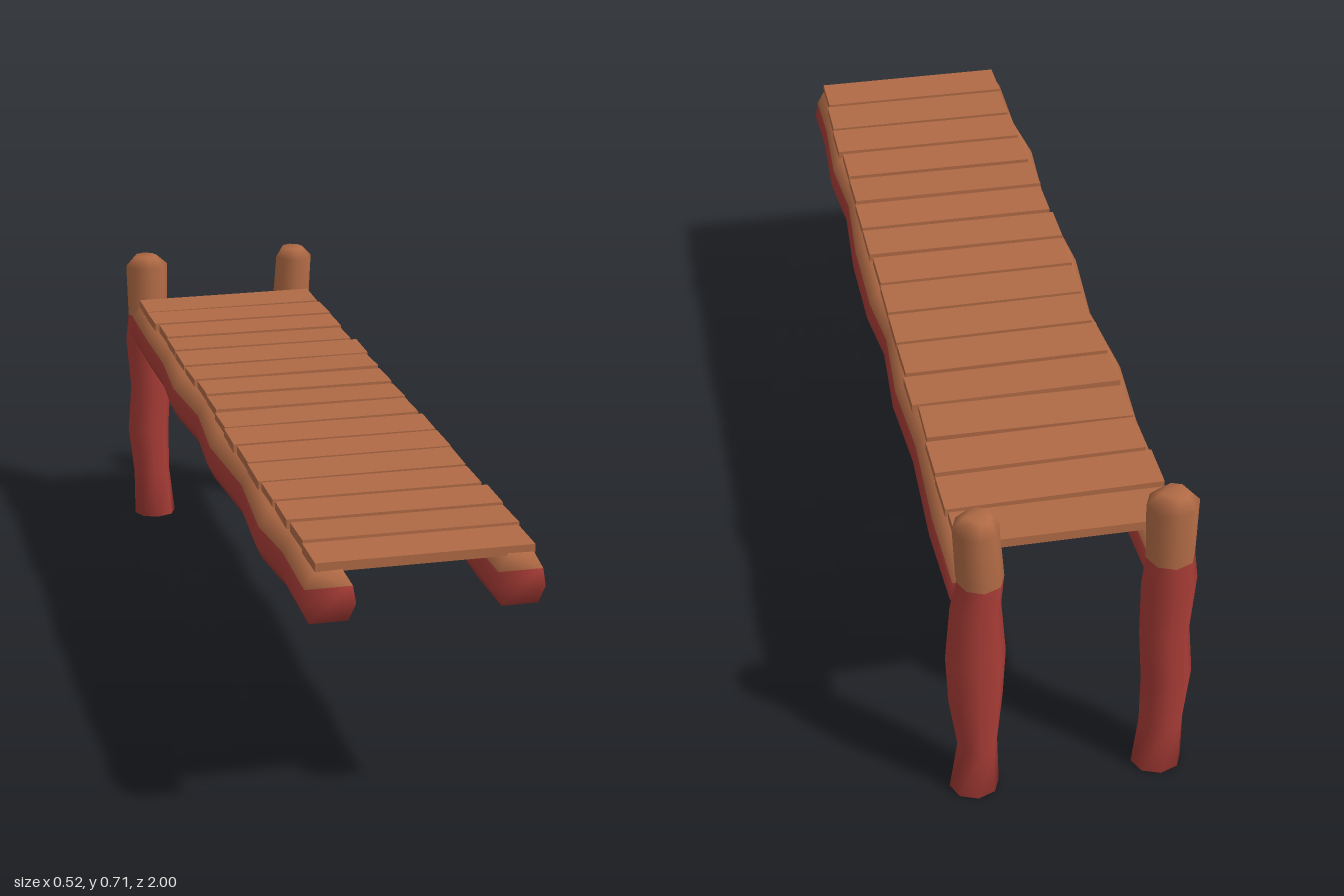
import * as THREE from 'three';

const red = new THREE.MeshStandardMaterial({ color: 0xa83c36 });
red.name = 'red paint';
const brown = new THREE.MeshStandardMaterial({ color: 0xb06a45 });
brown.name = 'brown wood';

// Small repeatable noise in -1..1
let seed = 7;
const noise = () => {
  seed = (seed * 16807) % 2147483647;
  return (seed / 2147483647) * 2 - 1;
};

// Closed log skinned over rings of points; isBrown(section, edge) picks the colour
function makeLog(name, rings, isBrown) {
  const n = rings[0].length, last = rings.length - 1;
  const faces = [[], []];
  const put = (i, j, ...ids) => faces[isBrown(i, j) ? 1 : 0].push(...ids);
  for (let i = 0; i < last; i++) {
    for (let j = 0; j < n; j++) {
      const a = i * n + j, b = i * n + (j + 1) % n;
      put(i, j, a, b, b + n, a, b + n, a + n);
    }
  }
  for (let j = 1; j < n - 1; j++) {
    put(0, j, 0, j + 1, j);
    put(last, j, last * n, last * n + j, last * n + j + 1);
  }
  const g = new THREE.BufferGeometry();
  g.setAttribute('position', new THREE.Float32BufferAttribute(rings.flat(2), 3));
  g.setIndex([...faces[0], ...faces[1]]);
  g.addGroup(0, faces[0].length, 0);
  g.addGroup(faces[0].length, faces[1].length, 1);
  g.computeVertexNormals();
  const mesh = new THREE.Mesh(g, [red, brown]);
  mesh.name = name;
  return mesh;
}

// Upright post: rows of [height, min x, max x, half depth]
function makePost(name, rows) {
  const rings = rows.map(([y, x0, x1, d]) => Array.from({ length: 8 }, (_, k) => {
    const a = (k / 8) * Math.PI * 2;
    return [(x0 + x1) / 2 + Math.cos(a) * (x1 - x0) / 2, y, -0.948 - Math.sin(a) * d];
  }));
  return makeLog(name, rings, (i) => i >= 5);
}

// Rail section: [share of half width, height], brown along the first three edges
const railSection = [
  [0.88, 0.556], [0.5, 0.59], [-0.5, 0.59], [-0.88, 0.556],
  [-1, 0.518], [-0.72, 0.484], [0.72, 0.484], [1, 0.518],
];

// Long rail: rows of [z, min x, max x], from back to front
function makeRail(name, rows) {
  const rings = rows.map(([z, x0, x1]) => railSection.map(([s, y], k) => [
    (x0 + x1) / 2 + s * (x1 - x0) / 2,
    y + (k === 1 || k === 2 ? noise() * 0.004 : 0),
    z,
  ]));
  return makeLog(name, rings, (i, j) => j < 3);
}

export function createModel() {
  const model = new THREE.Group();
  model.name = 'woodenJetty';

  // Posts at the back end
  model.add(makePost('rightPost', [
    [0, -0.245, -0.137, 0.049], [0.12, -0.245, -0.15, 0.05], [0.24, -0.258, -0.15, 0.05],
    [0.36, -0.248, -0.142, 0.05], [0.49, -0.258, -0.141, 0.05], [0.558, -0.25, -0.148, 0.05],
    [0.69, -0.253, -0.144, 0.05], [0.715, -0.23, -0.172, 0.03],
  ]));
  model.add(makePost('leftPost', [
    [0, 0.148, 0.253, 0.049], [0.12, 0.152, 0.236, 0.05], [0.24, 0.141, 0.254, 0.05],
    [0.36, 0.135, 0.26, 0.05], [0.49, 0.145, 0.25, 0.05], [0.558, 0.139, 0.237, 0.05],
    [0.69, 0.15, 0.244, 0.05], [0.715, 0.165, 0.221, 0.03],
  ]));

  // Rails under the deck
  model.add(makeRail('rightRail', [
    [-0.95, -0.248, -0.15], [-0.72, -0.25, -0.142], [-0.5, -0.247, -0.138], [-0.3, -0.26, -0.145],
    [-0.08, -0.242, -0.14], [0.14, -0.26, -0.146], [0.4, -0.243, -0.137], [0.65, -0.262, -0.147],
    [0.8, -0.246, -0.14], [1, -0.25, -0.14],
  ]));
  model.add(makeRail('leftRail', [
    [-0.95, 0.15, 0.25], [-0.75, 0.142, 0.255], [-0.5, 0.138, 0.246], [-0.3, 0.147, 0.256],
    [-0.1, 0.14, 0.243], [0.05, 0.143, 0.258], [0.27, 0.14, 0.257], [0.48, 0.136, 0.242],
    [0.65, 0.146, 0.254], [0.85, 0.14, 0.243], [1, 0.14, 0.245],
  ]));

  // Deck planks, each slightly crooked
  const deck = new THREE.Group();
  deck.name = 'deck';
  const pitch = 0.1194;
  for (let i = 0; i < 16; i++) {
    const geometry = new THREE.BoxGeometry(0.45 + noise() * 0.008, 0.02, 0.107);
    const plank = new THREE.Mesh(geometry, brown);
    plank.name = 'plank';
    plank.position.set(0.002 + noise() * 0.004, 0.598, 0.944 - i * pitch);
    plank.rotation.set(noise() * 0.03, noise() * 0.012, noise() * 0.004);
    deck.add(plank);
  }
  model.add(deck);

  return model;
}
